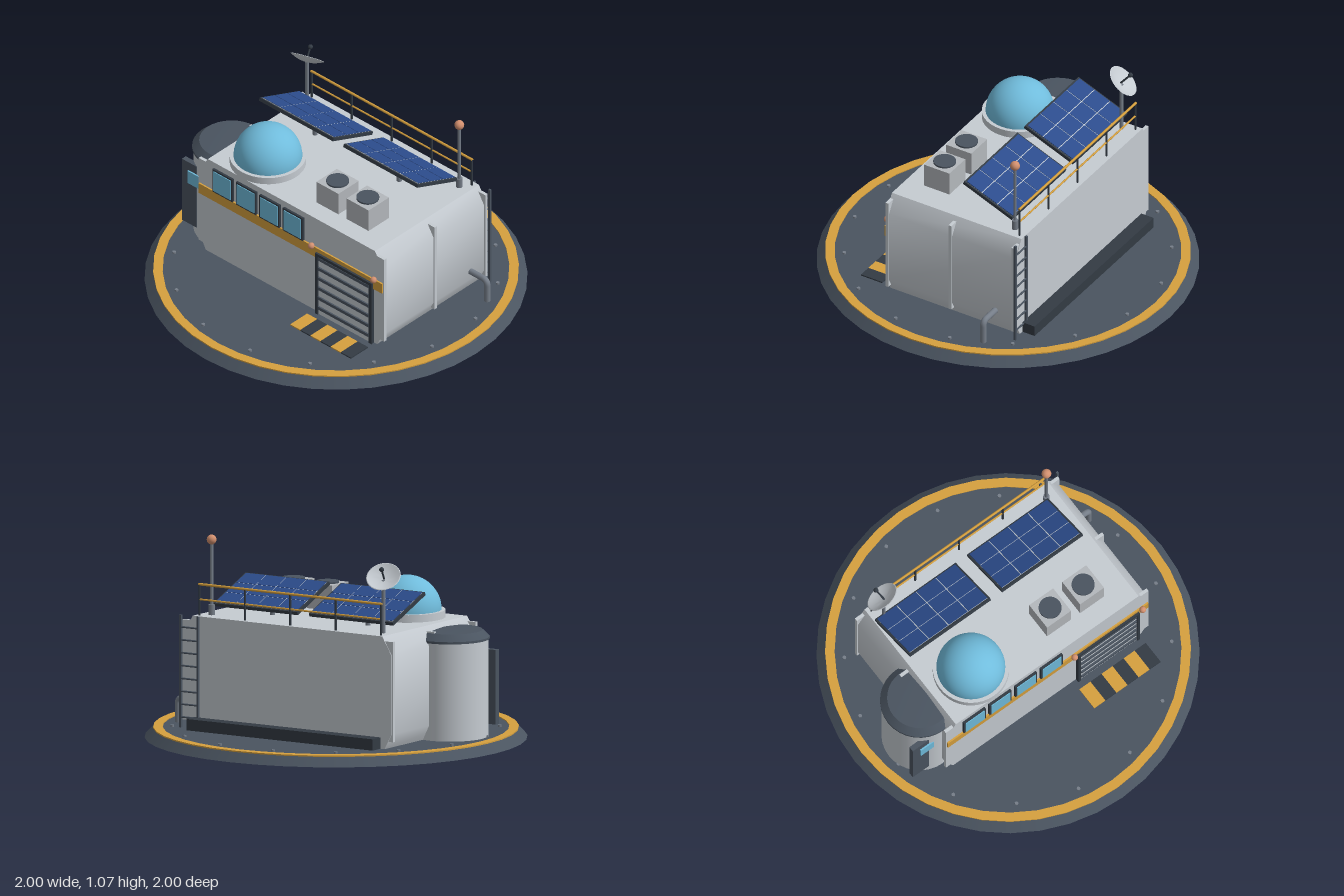
import * as THREE from 'three';
import { toCreasedNormals } from 'three/addons/utils/BufferGeometryUtils.js';

const mat = (name, color) => {
  const m = new THREE.MeshStandardMaterial({ color });
  m.name = name;
  return m;
};

export function createModel() {
  const model = new THREE.Group();
  model.name = 'outpost';

  const wall = mat('wall grey', 0xc6ccd2);
  const unit = mat('unit grey', 0xb4b8bc);
  const slate = mat('slate', 0x4a5460);
  const dark = mat('dark frame', 0x333b44);
  const metal = mat('metal grey', 0x767e89);
  const amber = mat('amber', 0xd6a03e);
  const glass = mat('glass blue', 0x70bcdc);
  const solar = mat('solar blue', 0x2c4c8c);
  const copper = mat('copper', 0xd3906f);

  const add = (name, geo, material, x = 0, y = 0, z = 0, parent = model) => {
    const m = new THREE.Mesh(geo, material);
    m.name = name;
    m.position.set(x, y, z);
    parent.add(m);
    return m;
  };
  const box = (name, material, w, h, d, x, y, z, parent) =>
    add(name, new THREE.BoxGeometry(w, h, d), material, x, y, z, parent);
  const post = (name, material, r, y0, y1, x, z, parent, sides = 12) =>
    add(name, new THREE.CylinderGeometry(r, r, y1 - y0, sides), material, x, (y0 + y1) / 2, z, parent);
  const ball = (name, material, r, x, y, z, parent) =>
    add(name, new THREE.SphereGeometry(r, 16, 12), material, x, y, z, parent);
  const rail = (name, material, r, length, x, y, z) => {
    const m = add(name, new THREE.CylinderGeometry(r, r, length, 8), material, x, y, z);
    m.rotation.z = Math.PI / 2;
    return m;
  };
  const lathe = (pts, sides) =>
    toCreasedNormals(new THREE.LatheGeometry(pts.map(p => new THREE.Vector2(...p)), sides), 0.6);

  // Landing pad with painted ring and bolts
  add('pad', new THREE.CylinderGeometry(0.95, 1, 0.05, 40), slate, 0, 0.025, 0);
  add('padRing', lathe([[0.905, 0.048], [0.955, 0.048], [0.955, 0.055], [0.905, 0.055], [0.905, 0.048]], 40), amber);
  for (let i = 0; i < 16; i++) {
    const a = (i + 0.5) * Math.PI / 8;
    post('padBolt', metal, 0.01, 0.05, 0.06, 0.855 * Math.cos(a), 0.855 * Math.sin(a), model, 8);
  }

  // Main hall: chamfered section extruded front to back
  const half = [[0.61, 0.05], [0.652, 0.13], [0.652, 0.55], [0.595, 0.645]];
  const section = new THREE.Shape([...half, ...half.map(([x, y]) => [-x, y]).reverse()]
    .map(p => new THREE.Vector2(...p)));
  const hall = new THREE.ExtrudeGeometry(section, { depth: 0.797, bevelEnabled: false });
  add('hall', toCreasedNormals(hall, 0.75), wall, 0, 0, -0.455);

  // Ribs on both end walls
  for (const s of [-1, 1])
    for (const z of [0.333, -0.055, -0.443])
      box('wallRib', wall, 0.06, 0.53, 0.018, s * 0.63, 0.355, z);

  // Front stripe and windows
  box('frontStripe', amber, 1.305, 0.062, 0.009, 0, 0.434, 0.347);
  for (let i = 0; i < 4; i++) {
    const x = -0.48 + i * 0.167;
    box('windowFrame', dark, 0.142, 0.145, 0.014, x, 0.537, 0.348);
    box('windowGlass', glass, 0.122, 0.125, 0.006, x, 0.537, 0.356);
  }

  // Shutter door with slats, frame and lamps
  box('shutter', wall, 0.37, 0.37, 0.012, 0.388, 0.236, 0.35);
  for (let i = 0; i < 6; i++) box('shutterSlat', slate, 0.36, 0.018, 0.016, 0.388, 0.095 + i * 0.0635, 0.357);
  for (const x of [0.196, 0.58]) box('doorJamb', dark, 0.018, 0.39, 0.024, x, 0.245, 0.352);
  box('doorLintel', dark, 0.4, 0.018, 0.024, 0.388, 0.432, 0.352);
  for (const x of [0.162, 0.605]) ball('doorLamp', copper, 0.018, x, 0.475, 0.365);

  // Hazard stripes in front of the door
  for (let i = 0; i < 6; i++)
    box('hazardStripe', i % 2 ? dark : amber, 0.072, 0.008, 0.13, 0.202 + i * 0.072, 0.053, 0.465);

  // Glass dome on its collar
  post('domeCollar', wall, 0.2, 0.645, 0.685, -0.35, 0.145, model, 40);
  add('dome', new THREE.SphereGeometry(0.18, 40, 16, 0, Math.PI * 2, 0, Math.PI / 2), glass, -0.35, 0.685, 0.145);

  // Rooftop fan units
  for (const x of [0.157, 0.372]) {
    box('fanUnit', unit, 0.156, 0.133, 0.156, x, 0.711, 0.157);
    post('fan', slate, 0.06, 0.777, 0.787, x, 0.157, model, 24);
  }

  // Tilted solar panels on posts
  for (const x of [-0.335, 0.265]) {
    post('panelPost', metal, 0.014, 0.645, 0.75, x, -0.2);
    const panel = new THREE.Group();
    panel.name = 'solarPanel';
    panel.position.set(x, 0.757, -0.207);
    panel.rotation.x = -0.38;
    model.add(panel);
    box('panelFrame', dark, 0.527, 0.018, 0.325, 0, 0, 0, panel);
    box('panelGrid', wall, 0.506, 0.004, 0.304, 0, 0.01, 0, panel);
    for (let i = 0; i < 4; i++)
      for (let j = 0; j < 3; j++)
        box('solarCell', solar, 0.123, 0.004, 0.098, (i - 1.5) * 0.1277, 0.012, (j - 1) * 0.1027, panel);
  }

  // Dish on a mast, facing up and back
  post('dishMast', metal, 0.01, 0.645, 0.925, -0.54, -0.36);
  const dish = new THREE.Group();
  dish.name = 'dish';
  dish.position.set(-0.545, 0.945, -0.368);
  dish.quaternion.setFromUnitVectors(new THREE.Vector3(0, 1, 0), new THREE.Vector3(-0.22, 0.74, -0.63).normalize());
  model.add(dish);
  add('dishBowl', lathe([[0, -0.026], [0.04, -0.021], [0.07, -0.011], [0.092, 0], [0.088, 0.002],
    [0.068, -0.007], [0.04, -0.016], [0, -0.021]], 28), wall, 0, 0, 0, dish);
  post('dishFeedRod', dark, 0.005, -0.02, 0.055, 0, 0, dish, 8);
  ball('dishFeed', dark, 0.013, 0, 0.058, 0, dish);

  // Antenna with beacon
  post('antennaBase', metal, 0.017, 0.645, 0.7, 0.53, -0.375);
  post('antenna', metal, 0.009, 0.645, 1.04, 0.53, -0.375);
  ball('beacon', copper, 0.026, 0.53, 1.043, -0.375);

  // Rear roof railing
  for (let i = 0; i < 5; i++) post('railPost', dark, 0.006, 0.645, 0.81, -0.57 + i * 0.285, -0.428, model, 8);
  rail('topRail', amber, 0.007, 1.15, 0, 0.81, -0.428);
  rail('midRail', amber, 0.005, 1.14, 0, 0.73, -0.428);

  // Ladder at the rear corner
  for (const x of [0.558, 0.666]) box('ladderRail', slate, 0.012, 0.595, 0.012, x, 0.3475, -0.462);
  for (let i = 0; i < 8; i++) rail('ladderRung', slate, 0.005, 0.1, 0.612, 0.105 + i * 0.068, -0.462);

  // Rear duct on the ground
  box('rearDuct', dark, 1.17, 0.06, 0.08, 0, 0.08, -0.49);

  // Bent side pipe
  const v = (x, y) => new THREE.Vector3(x, y, -0.33);
  const path = new THREE.CurvePath();
  path.add(new THREE.LineCurve3(v(0.64, 0.18), v(0.74, 0.18)));
  path.add(new THREE.QuadraticBezierCurve3(v(0.74, 0.18), v(0.77, 0.18), v(0.77, 0.15)));
  path.add(new THREE.LineCurve3(v(0.77, 0.15), v(0.77, 0.05)));
  add('sidePipe', new THREE.TubeGeometry(path, 40, 0.017, 12), metal);

  // Round side tower with capped roof
  post('tower', wall, 0.2, 0.05, 0.575, -0.65, 0.1, model, 32);
  add('towerRoof', lathe([[0, 0.565], [0.207, 0.565], [0.207, 0.577], [0.17, 0.612], [0, 0.624]], 32),
    slate, -0.65, 0, 0.1);

  // Tower door plate with its window
  box('towerDoor', slate, 0.105, 0.395, 0.03, -0.78, 0.3, 0.27);
  box('towerWindow', glass, 0.084, 0.078, 0.009, -0.743, 0.408, 0.289);

  return model;
}
